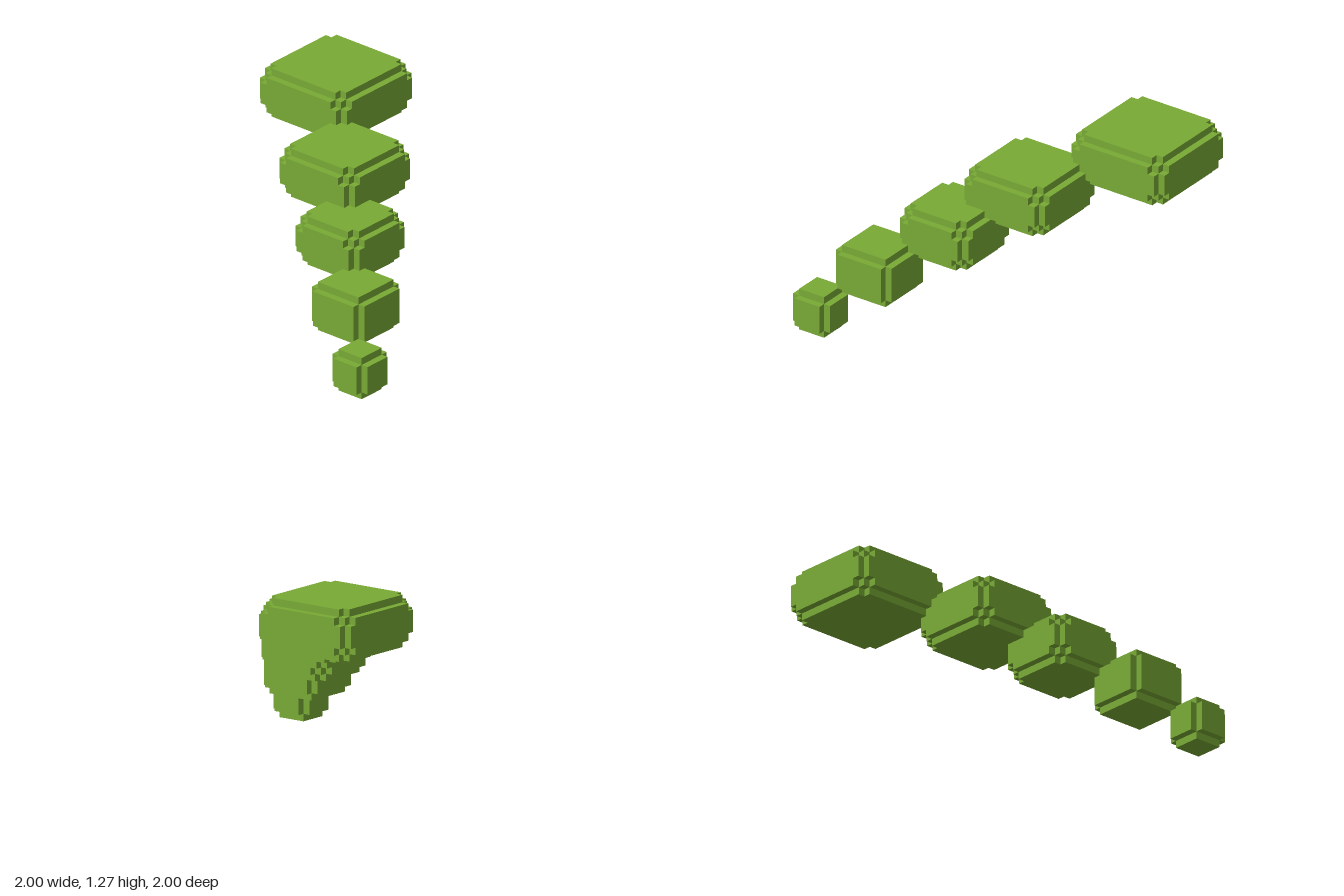
import * as THREE from 'three';

// Edge of one voxel; the model spans 41 of them
const U = 2 / 41;

// Segments of the chain: start (same in x and z), width, bottom, height, corner rounding
const SEGMENTS = [
  { name: 'segmentLargest', start: 0, width: 15, bottom: 19, height: 7, round: 2 },
  { name: 'segmentLarge', start: 12, width: 13, bottom: 15, height: 7, round: 2 },
  { name: 'segmentMiddle', start: 20, width: 11, bottom: 10, height: 7, round: 2 },
  { name: 'segmentSmall', start: 28, width: 9, bottom: 5, height: 7, round: 1 },
  { name: 'segmentTip', start: 35, width: 6, bottom: 0, height: 6, round: 1 },
];

// Is a voxel inside a segment? Edges and corners are rounded off by distance.
function inside(s, cell) {
  const low = [s.start, s.bottom, s.start];
  const size = [s.width, s.height, s.width];
  let d2 = 0;
  for (let a = 0; a < 3; a++) {
    const i = cell[a] - low[a];
    const depth = Math.min(i, size[a] - 1 - i);
    if (depth < 0) return false;
    d2 += Math.max(0, s.round - depth) ** 2;
  }
  return d2 <= (s.round === 2 ? 5 : 1);
}

const owner = (cell) => SEGMENTS.findIndex((s) => inside(s, cell));

// Square faces of all voxels of a segment that touch the open air
function segmentGeometry(index) {
  const s = SEGMENTS[index];
  const positions = [], normals = [], indices = [];

  function addFaces(cell) {
    for (let a = 0; a < 3; a++) {
      for (const sign of [-1, 1]) {
        const next = [...cell];
        next[a] += sign;
        if (owner(next) >= 0) continue;
        const b = (a + 1) % 3, c = (a + 2) % 3;
        const first = positions.length / 3;
        for (const [i, j] of [[0, 0], [1, 0], [1, 1], [0, 1]]) {
          const p = [...cell], n = [0, 0, 0];
          p[a] += sign > 0 ? 1 : 0;
          p[b] += i;
          p[c] += j;
          n[a] = sign;
          positions.push(p[0] * U - 1, p[1] * U, p[2] * U - 1);
          normals.push(...n);
        }
        const order = sign > 0 ? [0, 1, 2, 0, 2, 3] : [0, 2, 1, 0, 3, 2];
        indices.push(...order.map((k) => first + k));
      }
    }
  }

  for (let x = s.start; x < s.start + s.width; x++)
    for (let y = s.bottom; y < s.bottom + s.height; y++)
      for (let z = s.start; z < s.start + s.width; z++)
        if (owner([x, y, z]) === index) addFaces([x, y, z]);

  const geometry = new THREE.BufferGeometry();
  geometry.setAttribute('position', new THREE.Float32BufferAttribute(positions, 3));
  geometry.setAttribute('normal', new THREE.Float32BufferAttribute(normals, 3));
  geometry.setIndex(indices);
  return geometry;
}

export function createModel() {
  const green = new THREE.MeshStandardMaterial({ color: 0x78aa35 });
  green.name = 'leaf green';

  const model = new THREE.Group();
  model.name = 'segmentedStem';
  SEGMENTS.forEach((s, i) => {
    const mesh = new THREE.Mesh(segmentGeometry(i), green);
    mesh.name = s.name;
    model.add(mesh);
  });
  return model;
}
